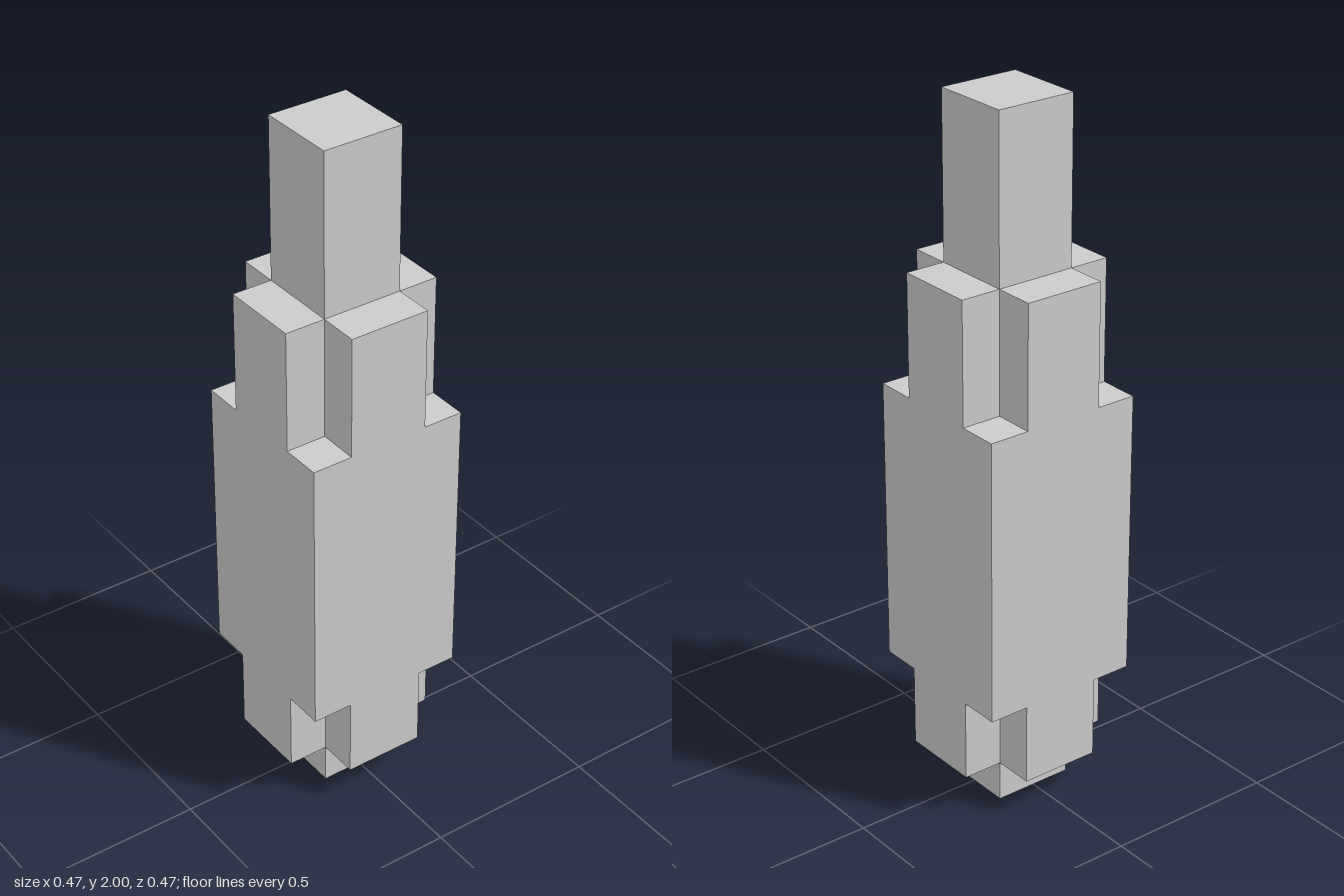
import * as THREE from 'three';

// The whole model sits on a block grid, 17 blocks tall
const U = 2 / 17;

// Footprints, in blocks
const SQUARE = (h) => [[-h, -h], [h, -h], [h, h], [-h, h]];
const CROSS = [
  [-1, -2], [1, -2], [1, -1], [2, -1], [2, 1], [1, 1],
  [1, 2], [-1, 2], [-1, 1], [-2, 1], [-2, -1], [-1, -1],
];

export function createModel() {
  const group = new THREE.Group();
  group.name = 'blockCandle';
  const material = new THREE.MeshStandardMaterial({ color: 0xcccccc, flatShading: true });

  // Raise a footprint from block height y0 to y1
  const addLayer = (name, footprint, y0, y1) => {
    const shape = new THREE.Shape(footprint.map(([x, z]) => new THREE.Vector2(x * U, z * U)));
    const geometry = new THREE.ExtrudeGeometry(shape, { depth: (y1 - y0) * U, bevelEnabled: false });
    geometry.rotateX(-Math.PI / 2);
    const mesh = new THREE.Mesh(geometry, material);
    mesh.name = name;
    mesh.position.y = y0 * U;
    group.add(mesh);
  };

  addLayer('foot', SQUARE(1), 0, 1);
  addLayer('lowerCross', CROSS, 1, 3);
  addLayer('body', SQUARE(2), 3, 10);
  addLayer('upperCross', CROSS, 10, 13);
  addLayer('topPost', SQUARE(1), 13, 17);

  return group;
}
